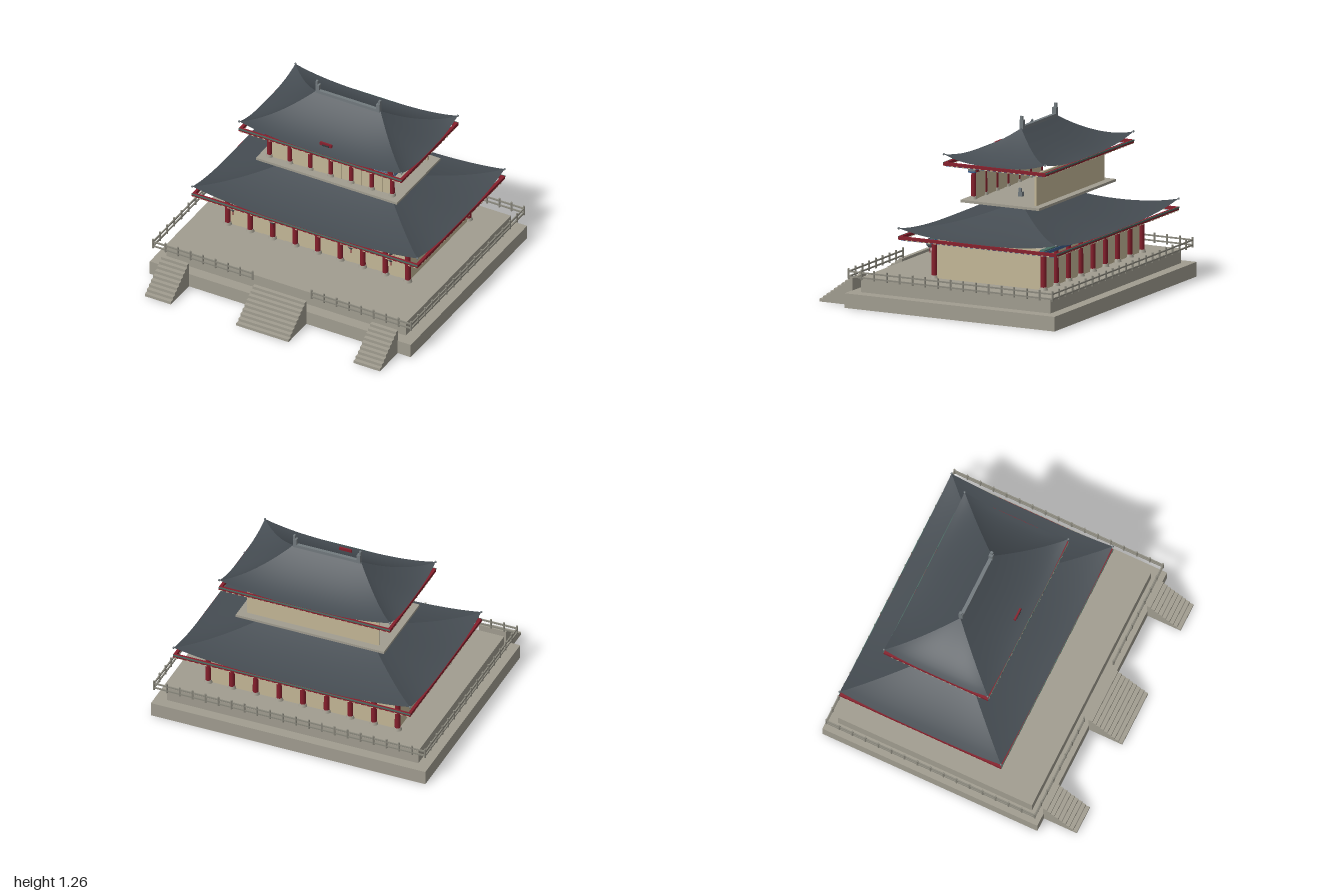
import * as THREE from 'three';

const mat = (name, color, extra = {}) => Object.assign(new THREE.MeshStandardMaterial({ color, ...extra }), { name });

export function createModel() {
  const stone = mat('stone', 0xa19d90);
  const railStone = mat('railing stone', 0x8b897e);
  const tile = mat('roof tile', 0x454c52, { side: THREE.DoubleSide });
  const ridgeGrey = mat('ridge grey', 0x727a7e);
  const red = mat('lacquer red', 0x861f2c);
  const cream = mat('plaster cream', 0xc4b797);
  const blue = mat('trim blue', 0x3d5f8c);
  const green = mat('trim green', 0x4a6f64);
  const dark = mat('dark metal', 0x33383b);

  const model = new THREE.Group();
  model.name = 'pavilion';
  const CZ = -0.265; // depth centre of the building

  const group = (name, parent = model) => {
    const g = new THREE.Group();
    g.name = name;
    parent.add(g);
    return g;
  };
  const add = (parent, name, geo, material, x = 0, y = 0, z = 0) => {
    const m = new THREE.Mesh(geo, material);
    m.name = name;
    m.position.set(x, y, z);
    parent.add(m);
    return m;
  };
  // box given by its extents
  const box = (parent, name, material, x0, x1, y0, y1, z0, z1) =>
    add(parent, name, new THREE.BoxGeometry(x1 - x0, y1 - y0, z1 - z0), material,
      (x0 + x1) / 2, (y0 + y1) / 2, (z0 + z1) / 2);

  // two-step terrace
  const terrace = group('terrace');
  box(terrace, 'lowerTerrace', stone, -1, 1, 0, 0.1, -0.925, 0.67);
  box(terrace, 'upperTerrace', stone, -0.917, 0.917, 0.1, 0.2, -0.85, 0.59);

  // stairs: stepped profile extruded across the width
  const stairs = (name, xc, width) => {
    const n = 9, zFront = 0.915, zBack = 0.665, d = (zFront - zBack) / n;
    const s = new THREE.Shape();
    s.moveTo(-zBack, 0);
    s.lineTo(-zFront, 0);
    for (let i = 0; i < n; i++) {
      s.lineTo(-zFront + i * d, (i + 1) * 0.0205);
      s.lineTo(-zFront + (i + 1) * d, (i + 1) * 0.0205);
    }
    const geo = new THREE.ExtrudeGeometry(s, { depth: width, bevelEnabled: false });
    geo.translate(0, 0, -width / 2);
    geo.rotateY(Math.PI / 2);
    add(terrace, name, geo, stone, xc);
  };
  stairs('mainStairs', 0, 0.4);
  stairs('leftStairs', 0.8, 0.2);
  stairs('rightStairs', -0.8, 0.2);

  // railings: posts and two rails along a straight run
  const railings = group('railings');
  const railing = (name, x0, z0, x1, z1) => {
    const g = group(name, railings);
    const len = Math.hypot(x1 - x0, z1 - z0), n = Math.round(len / 0.095);
    for (let i = 0; i <= n; i++) {
      const t = i / n;
      add(g, 'railPost', new THREE.CylinderGeometry(0.007, 0.007, 0.07, 8), railStone,
        x0 + (x1 - x0) * t, 0.235, z0 + (z1 - z0) * t);
    }
    for (const y of [0.216, 0.25]) {
      const rail = add(g, 'rail', new THREE.BoxGeometry(len, 0.01, 0.009), railStone,
        (x0 + x1) / 2, y, (z0 + z1) / 2);
      rail.rotation.y = -Math.atan2(z1 - z0, x1 - x0);
    }
  };
  railing('backRailing', -0.988, -0.902, 0.988, -0.902);
  for (const s of [-1, 1]) {
    railing('sideRailing', s * 0.988, -0.902, s * 0.988, 0.645);
    railing('frontRailing', s * 0.225, 0.645, s * 0.988, 0.645);
  }

  // column row with stone feet and red capitals
  const columns = (parent, n, halfX, z, y0, y1, r) => {
    for (let i = 0; i < n; i++) {
      const x = -halfX + (2 * halfX * i) / (n - 1);
      add(parent, 'column', new THREE.CylinderGeometry(r * 0.95, r, y1 - y0, 14), red, x, (y0 + y1) / 2, z);
      add(parent, 'columnFoot', new THREE.CylinderGeometry(r * 1.15, r * 1.5, 0.02, 14), stone, x, y0 + 0.01, z);
    }
  };
  // door panels: two leaves in each bay
  const doors = (parent, n, halfX, z, y0, y1) => {
    const bay = (2 * halfX) / (n - 1);
    for (let i = 0; i < n - 1; i++) for (const k of [0, 1]) {
      const x = -halfX + (i + k * 0.5) * bay;
      box(parent, 'doorPanel', cream, x, x + bay / 2, y0, y1, z - 0.006 - k * 0.004, z + 0.004 - k * 0.004);
    }
  };

  // ground storey
  const ground = group('groundStorey');
  columns(ground, 9, 0.69, 0.155, 0.2, 0.46, 0.02);
  columns(ground, 9, 0.69, -0.675, 0.2, 0.46, 0.02);
  doors(ground, 9, 0.69, 0.14, 0.2, 0.465);
  box(ground, 'backWall', cream, -0.69, 0.69, 0.2, 0.465, -0.67, -0.655);
  for (const s of [-1, 1]) box(ground, 'sideWall', cream, s * 0.688 - 0.007, s * 0.688 + 0.007, 0.2, 0.475, -0.655, 0.134);
  for (const z of [0.153, -0.678]) {
    box(ground, 'lintel', blue, -0.73, 0.73, 0.447, 0.468, z - 0.024, z + 0.024);
    box(ground, 'lintelCap', green, -0.715, 0.715, 0.468, 0.476, z - 0.018, z + 0.018);
  }

  // upper storey, open at both ends
  const upper = group('upperStorey');
  box(upper, 'floorSlab', stone, -0.54, 0.54, 0.7, 0.717, -0.56, 0.037);
  columns(upper, 7, 0.47, -0.025, 0.717, 0.905, 0.017);
  doors(upper, 7, 0.47, -0.03, 0.717, 0.905);
  box(upper, 'backWall', cream, -0.48, 0.48, 0.717, 0.936, -0.507, -0.493);
  box(upper, 'lintel', blue, -0.505, 0.505, 0.9, 0.91, -0.05, 0);
  box(upper, 'lintelBeam', ridgeGrey, -0.5, 0.5, 0.91, 0.935, -0.053, 0.003);
  for (let i = 0; i < 7; i++) {
    const x = -0.47 + i * (0.94 / 6);
    box(upper, 'bracket', red, x - 0.02, x + 0.02, 0.905, 0.938, -0.058, 0.008);
  }

  // curved hip roof with lifted corners, eave frame, ridge and ridge ends
  const roof = (name, hx, hz, ridge, yEave, yTop) => {
    const g = group(name);
    g.position.z = CZ;
    const slope = (sideways, sign) => {
      const geo = new THREE.PlaneGeometry(1, 1, 32, 14);
      const p = geo.attributes.position;
      for (let i = 0; i < p.count; i++) {
        const t = p.getX(i) * 2, v = 0.5 - p.getY(i);
        const rx = ridge + (hx - ridge) * v, rz = hz * v;
        const y = yEave + (yTop - yEave) * (1 - v) ** 1.55 + 0.053 * v * v * Math.abs(t) ** 3;
        if (sideways) p.setXYZ(i, sign * rx, y, -sign * t * rz);
        else p.setXYZ(i, sign * t * rx, y, sign * rz);
      }
      geo.computeVertexNormals();
      add(g, 'roofSlope', geo, tile);
    };
    for (const s of [-1, 1]) {
      slope(false, s);
      slope(true, s);
      // eave frame
      const X = hx + 0.003, Z = hz + 0.003, y0 = yEave - 0.029, y1 = yEave - 0.003, w = 0.02;
      const zi = s * (Z - w / 2), xi = s * (X - w / 2);
      box(g, 'eaveBeam', red, -X, X, y0 + 0.004, y1, zi - w / 2, zi + w / 2);
      box(g, 'eaveBeam', red, xi - w / 2, xi + w / 2, y0 + 0.004, y1, -Z + w, Z - w);
      box(g, 'eaveTrim', green, -X, X, y1 - 0.009, y1 + 0.001, s * Z - 0.002, s * Z + 0.002);
      box(g, 'eaveTrim', blue, xi - 0.007, xi + 0.007, y0, y0 + 0.004, -Z + w, Z - w);
      // rafter ends
      const nx = Math.round(hx * 46), nz = Math.round(hz * 46);
      for (let i = 0; i < nx; i++)
        box(g, 'rafterEnd', cream, -X + (2 * X * (i + 0.3)) / nx, -X + (2 * X * (i + 0.7)) / nx,
          y0, y0 + 0.007, zi - w / 2 - 0.001, zi + w / 2 + 0.001);
      for (let i = 1; i < nz - 1; i++)
        box(g, 'rafterEnd', cream, xi - w / 2 - 0.001, xi + w / 2 + 0.001, y0, y0 + 0.007,
          -Z + (2 * Z * (i + 0.3)) / nz, -Z + (2 * Z * (i + 0.7)) / nz);
      // ridge end ornament
      const e = s * (ridge - 0.013);
      box(g, 'ridgeEnd', ridgeGrey, e - 0.013, e + 0.013, yTop - 0.005, yTop + 0.055, -0.015, 0.015);
      const o = s * (ridge - 0.005);
      box(g, 'ridgeHorn', ridgeGrey, o - 0.007, o + 0.007, yTop + 0.055, yTop + 0.082, -0.01, 0.01);
      // corner tips
      for (const c of [-1, 1])
        add(g, 'cornerTip', new THREE.SphereGeometry(0.008, 8, 6), ridgeGrey, s * hx, yEave + 0.053, c * hz);
    }
    box(g, 'ridgeBeam', ridgeGrey, -ridge, ridge, yTop - 0.012, yTop + 0.012, -0.012, 0.012);
  };
  roof('lowerRoof', 0.862, 0.598, 0.262, 0.5, 0.693);
  roof('upperRoof', 0.622, 0.385, 0.245, 0.983, 1.182);

  // plaque under the upper eave
  const plaque = group('plaque');
  box(plaque, 'plaqueBoard', red, -0.045, 0.045, 0.935, 1.02, 0.035, 0.048);
  box(plaque, 'plaquePanel', dark, -0.025, 0.025, 0.955, 1.008, 0.048, 0.051);

  // hanging lanterns
  for (const x of [-0.605, -0.3, 0.3, 0.605]) {
    const g = group('lantern');
    g.position.set(x, 0.415, 0.235);
    add(g, 'lanternTop', new THREE.SphereGeometry(0.028, 16, 8, 0, Math.PI * 2, 0, Math.PI * 0.55), cream);
    add(g, 'lanternBottom', new THREE.SphereGeometry(0.028, 16, 8, 0, Math.PI * 2, Math.PI * 0.55, Math.PI * 0.45), ridgeGrey);
    add(g, 'lanternCap', new THREE.CylinderGeometry(0.01, 0.012, 0.008, 12), dark, 0, 0.028);
    add(g, 'lanternBase', new THREE.CylinderGeometry(0.012, 0.01, 0.008, 12), dark, 0, -0.028);
    add(g, 'tassel', new THREE.CylinderGeometry(0.003, 0.004, 0.035, 8), red, 0, -0.048);
  }
  return model;
}
